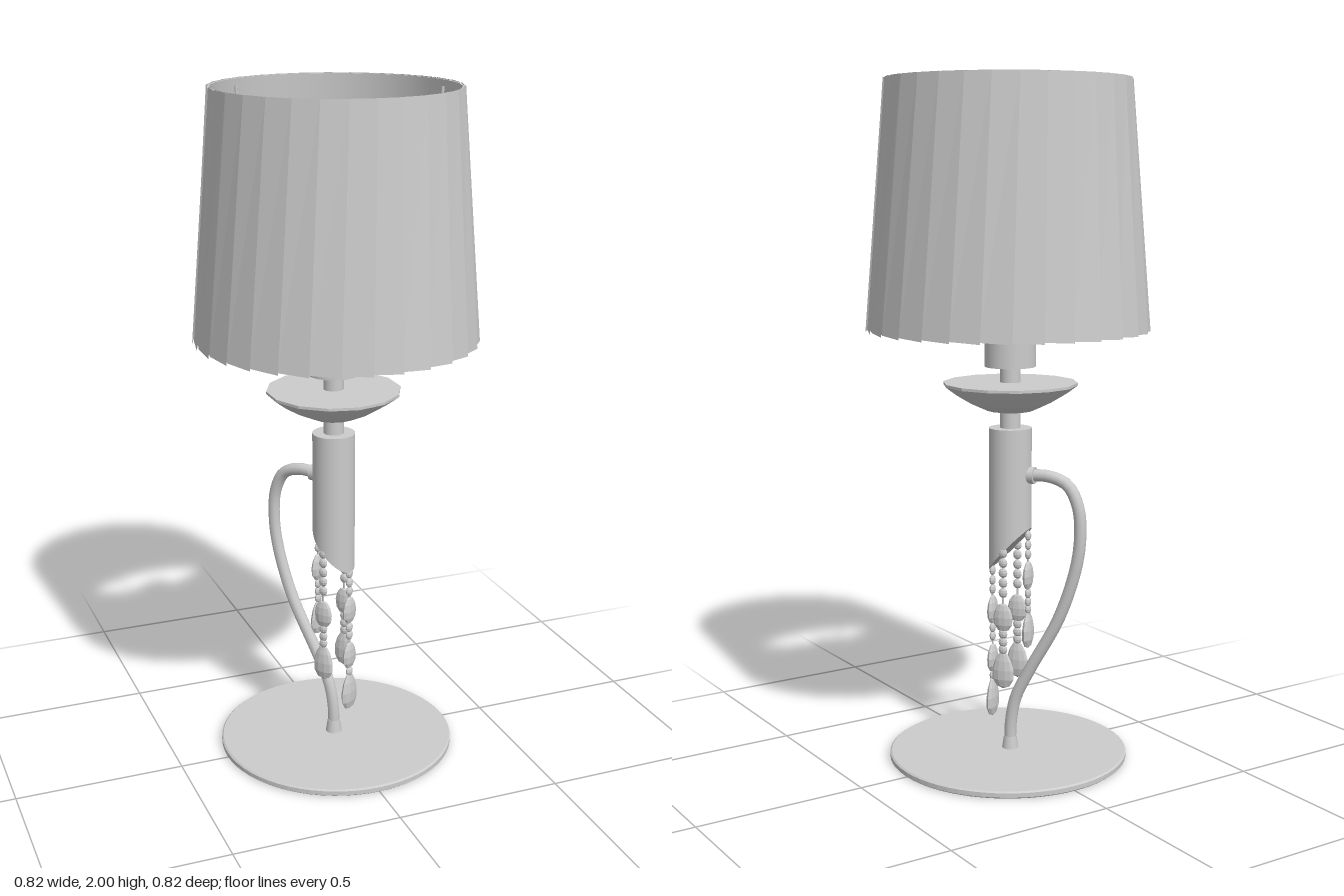
import * as THREE from 'three';

const grey = new THREE.MeshStandardMaterial({ color: 0xcccccc, side: THREE.DoubleSide });
grey.name = 'light grey';

// horizontal directions: towards the handle, and across it
const HX = -0.57, HZ = -0.82;
const CX = -0.005, CZ = -0.005; // stem axis

function faceted(geo) {
  const g = geo.index ? geo.toNonIndexed() : geo;
  g.computeVertexNormals();
  return g;
}

function add(parent, name, geo, x = 0, y = 0, z = 0) {
  const m = new THREE.Mesh(geo, grey);
  m.name = name;
  m.position.set(x, y, z);
  parent.add(m);
  return m;
}

const cyl = (rTop, rBot, y0, y1, seg = 32, open = false) =>
  new THREE.CylinderGeometry(rTop, rBot, y1 - y0, seg, 1, open).translate(0, (y0 + y1) / 2, 0);

const lathe = (pts, seg) => new THREE.LatheGeometry(pts.map(p => new THREE.Vector2(...p)), seg);

// overlapping flat slats around the shade
function slats(count) {
  const pos = [];
  const at = (r, a, y) => [r * Math.sin(a), y, r * Math.cos(a)];
  for (let i = 0; i < count; i++) {
    const a = (i / count) * Math.PI * 2 + 0.1, b = a + (1.06 * Math.PI * 2) / count;
    const skew = 0.03;
    const p = at(0.406, a - skew, 1.29), q = at(0.412, b - skew, 1.285);
    const r = at(0.355, b + skew, 2), s = at(0.35, a + skew, 2);
    pos.push(...p, ...q, ...r, ...p, ...r, ...s);
  }
  const g = new THREE.BufferGeometry();
  g.setAttribute('position', new THREE.Float32BufferAttribute(pos, 3));
  g.computeVertexNormals();
  return g;
}

// flat faceted crystal; taper > 0 narrows the top into a drop
function crystal(w, h, d, taper) {
  const g = new THREE.SphereGeometry(1, 10, 6);
  const p = g.attributes.position;
  for (let i = 0; i < p.count; i++) {
    const k = 1 - taper * p.getY(i);
    p.setXYZ(i, p.getX(i) * w * k, p.getY(i) * h, p.getZ(i) * d * k);
  }
  return faceted(g);
}

// one hanging strand: lists of small beads, ovals and the end drop by height
function strand(name, dx, dz, spec) {
  const g = new THREE.Group();
  g.name = name;
  for (const y of spec.beads) add(g, 'bead', crystal(0.014, 0.015, 0.009, 0), 0, y, 0);
  for (const y of spec.ovals) add(g, 'ovalCrystal', crystal(0.031, 0.044, 0.013, 0.1), 0, y, 0);
  add(g, 'dropCrystal', crystal(0.034 * spec.size, 0.057 * spec.size, 0.014, 0.25), 0, spec.drop, 0);
  const top = spec.beads[0] + 0.06;
  add(g, 'wire', cyl(0.003, 0.003, spec.drop, top, 6));
  g.position.set(CX + dx * 0.057, 0, CZ + dz * 0.057);
  g.rotation.y = Math.atan2(dx, dz);
  return g;
}

export function createModel() {
  const lamp = new THREE.Group();
  lamp.name = 'tableLamp';

  // round base plate and foot collar
  add(lamp, 'base', faceted(lathe([[0, 0], [0.35, 0], [0.355, 0.004], [0.355, 0.017], [0.35, 0.021], [0, 0.021]], 64)));
  add(lamp, 'footCollar', cyl(0.019, 0.025, 0.02, 0.058, 16), CX, 0, CZ);

  // curved arm from the base up to the body
  const path = [[0, 0.03], [0.002, 0.1], [0.018, 0.18], [0.062, 0.27], [0.155, 0.44], [0.208, 0.6],
    [0.22, 0.7], [0.212, 0.78], [0.18, 0.84], [0.125, 0.862], [0.05, 0.862]];
  const curve = new THREE.CatmullRomCurve3(path.map(([s, y]) => new THREE.Vector3(CX + HX * s, y, CZ + HZ * s)));
  add(lamp, 'curvedArm', new THREE.TubeGeometry(curve, 48, 0.018, 10));
  const collar = add(lamp, 'armCollar', new THREE.CylinderGeometry(0.025, 0.025, 0.02, 16),
    CX + HX * 0.068, 0.862, CZ + HZ * 0.068);
  collar.quaternion.setFromUnitVectors(new THREE.Vector3(0, 1, 0), new THREE.Vector3(HX, 0, HZ).normalize());

  // body tube with an oblique lower end
  const body = cyl(0.063, 0.063, 0.6, 1.0, 40);
  const p = body.attributes.position;
  for (let i = 0; i < p.count; i++) {
    if (p.getY(i) < 0.7) p.setY(i, 0.637 + 1.05 * (p.getX(i) * HX + p.getZ(i) * HZ));
  }
  add(lamp, 'body', body, CX, 0, CZ);
  add(lamp, 'post', cyl(0.03, 0.03, 1.0, 1.19, 24), CX, 0, CZ);

  // shallow dish
  add(lamp, 'dish', faceted(lathe([[0.03, 1.045], [0.07, 1.052], [0.12, 1.075], [0.165, 1.102],
    [0.197, 1.126], [0.197, 1.134], [0, 1.134]], 14)), CX, 0, CZ);

  // lamp socket
  add(lamp, 'socket', cyl(0.075, 0.075, 1.18, 1.56, 40), CX, 0, CZ);

  // three shade supports, out from the socket and up to the rim
  for (const [x, z] of [[0.34, -0.035], [-0.2, -0.285], [-0.15, 0.305]]) {
    const l = Math.hypot(x, z), dx = x / l, dz = z / l;
    const pts = [[0.06, 1.43], [0.17, 1.435], [0.27, 1.46], [0.31, 1.56], [0.341, 1.98]];
    const c = new THREE.CatmullRomCurve3(pts.map(([r, y]) => new THREE.Vector3(dx * r, y, dz * r)));
    add(lamp, 'shadeSupport', new THREE.TubeGeometry(c, 24, 0.005, 6));
  }

  // shade: inner liner, outer slats, top rim
  const shade = new THREE.Group();
  shade.name = 'shade';
  add(shade, 'liner', cyl(0.346, 0.401, 1.29, 1.998, 30, true));
  add(shade, 'slats', slats(30));
  add(shade, 'topRim', new THREE.RingGeometry(0.346, 0.352, 30).rotateX(-Math.PI / 2), 0, 1.998, 0);
  lamp.add(shade);

  // crystal strands around the lower end of the body
  const side = { beads: [0.635, 0.605, 0.575, 0.545, 0.515, 0.39, 0.365, 0.342], ovals: [0.44], drop: 0.28, size: 1 };
  lamp.add(strand('sideStrand', -HZ, HX, side));
  lamp.add(strand('sideStrand', HZ, -HX, side));
  lamp.add(strand('frontStrand', -HX, -HZ,
    { beads: [0.565, 0.535, 0.507, 0.388, 0.362, 0.24], ovals: [0.445, 0.295], drop: 0.175, size: 1.08 }));
  lamp.add(strand('backStrand', HX, HZ,
    { beads: [0.68, 0.652, 0.624, 0.505, 0.48, 0.457], ovals: [0.56], drop: 0.395, size: 1 }));

  return lamp;
}
